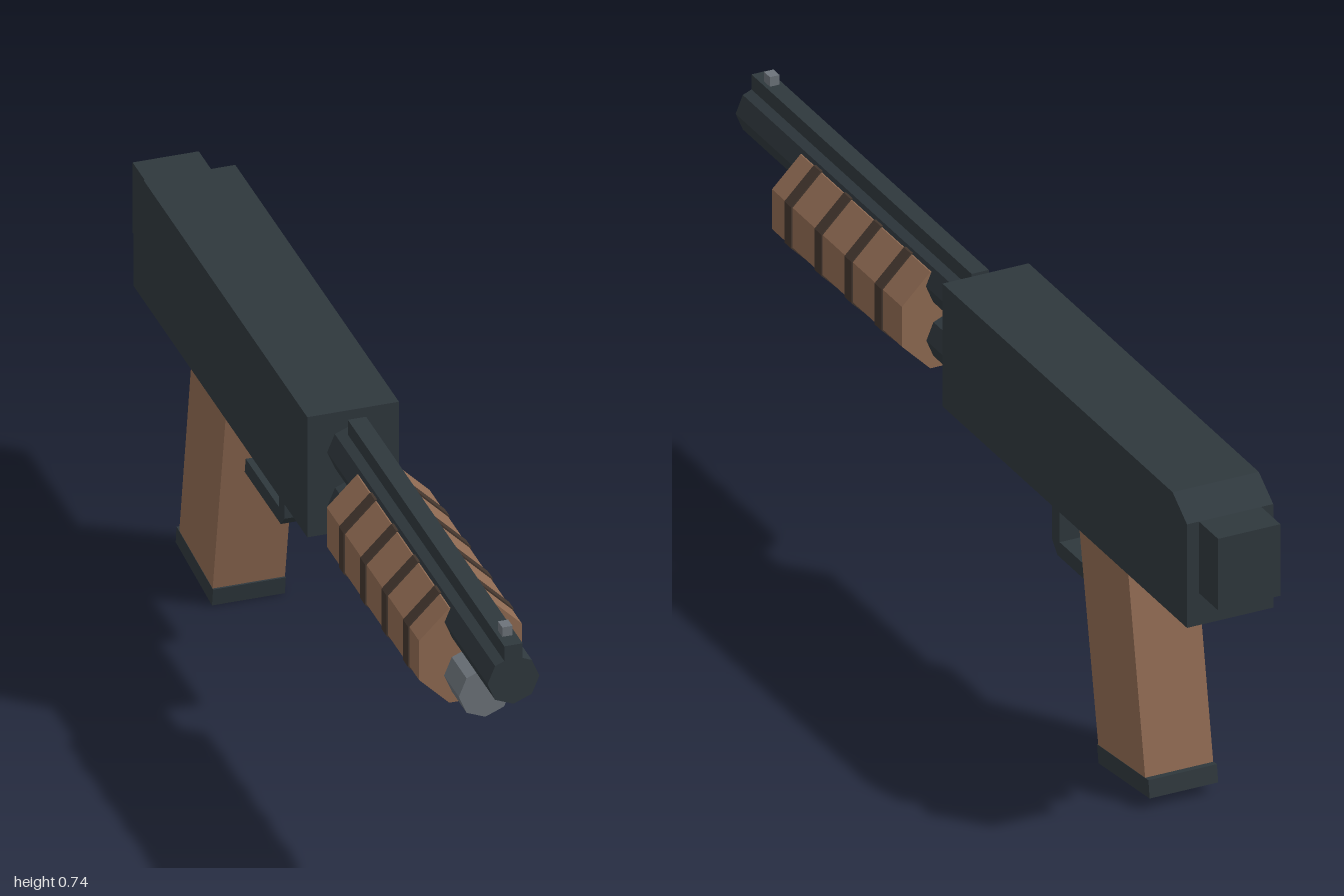
import * as THREE from 'three';

const material = (name, color) => {
  const m = new THREE.MeshStandardMaterial({ color });
  m.name = name;
  return m;
};

export function createModel() {
  const steel = material('dark steel', 0x2f383d);
  const wood = material('brown wood', 0x8f6a52);
  const groove = material('dark brown bands', 0x43362e);
  const grey = material('grey metal', 0x6c737a);
  const group = new THREE.Group();

  const add = (name, geometry, mat) => {
    const mesh = new THREE.Mesh(geometry, mat);
    mesh.name = name;
    group.add(mesh);
  };
  // Box given by its width and its y and z ranges
  const box = (name, mat, w, y0, y1, z0, z1) => add(name,
    new THREE.BoxGeometry(w, y1 - y0, z1 - z0).translate(0, (y0 + y1) / 2, (z0 + z1) / 2), mat);
  // Side profile of [z, y] points, extruded across x
  const profile = (name, mat, w, points) => add(name,
    new THREE.ExtrudeGeometry(new THREE.Shape(points.map(p => new THREE.Vector2(...p))),
      { depth: w, bevelEnabled: false }).rotateY(-Math.PI / 2).translate(w / 2, 0, 0), mat);
  // Octagonal bar along z; turn = PI / 8 puts flats on the sides
  const bar = (name, mat, r, y, z0, z1, turn = 0) => add(name,
    new THREE.CylinderGeometry(r, r, z1 - z0, 8).toNonIndexed().rotateY(turn)
      .rotateX(Math.PI / 2).translate(0, y, (z0 + z1) / 2), mat);

  // Receiver with chamfered rear, and rear block
  profile('receiver', steel, 0.18,
    [[0.078, 0.473], [0.078, 0.73], [-0.863, 0.73], [-0.922, 0.69], [-0.922, 0.473]]);
  box('rearBlock', steel, 0.13, 0.54, 0.69, -1, -0.92);

  // Barrel, top rib and front sight
  bar('barrel', steel, 0.051, 0.648, 0.07, 1);
  box('barrelRib', steel, 0.036, 0.67, 0.723, 0.1, 1);
  box('frontSight', grey, 0.02, 0.72, 0.743, 0.94, 0.965);

  // Magazine tube and its end cap
  bar('magazineTube', steel, 0.05, 0.534, 0.07, 0.74);
  bar('tubeCap', grey, 0.052, 0.534, 0.73, 0.838);

  // Sliding foregrip with raised bands
  const flat = Math.cos(Math.PI / 8);
  bar('foregrip', wood, 0.101 / flat, 0.575, 0.222, 0.753, Math.PI / 8);
  for (let i = 0; i < 4; i++) {
    const z = 0.314 + i * 0.123;
    bar('foregripBand', groove, 0.104 / flat, 0.575, z - 0.014, z + 0.014, Math.PI / 8);
  }

  // Trigger guard and trigger
  profile('triggerGuard', steel, 0.05, [[-0.243, 0.48], [-0.243, 0.328], [-0.265, 0.305],
    [-0.5, 0.305], [-0.5, 0.336], [-0.274, 0.336], [-0.274, 0.48]]);
  profile('trigger', grey, 0.024, [[-0.372, 0.48], [-0.384, 0.385], [-0.401, 0.38], [-0.405, 0.48]]);

  // Raked pistol grip and butt cap
  profile('pistolGrip', wood, 0.142, [[-0.44, 0.48], [-0.64, 0.48], [-0.716, 0.045], [-0.525, 0.02]]);
  profile('gripCap', steel, 0.143, [[-0.518, 0.037], [-0.728, 0.059], [-0.733, 0.023], [-0.524, 0]]);

  // Faceted shading on the octagonal bars
  group.traverse(o => o.isMesh && !o.geometry.index && o.geometry.computeVertexNormals());
  return group;
}
